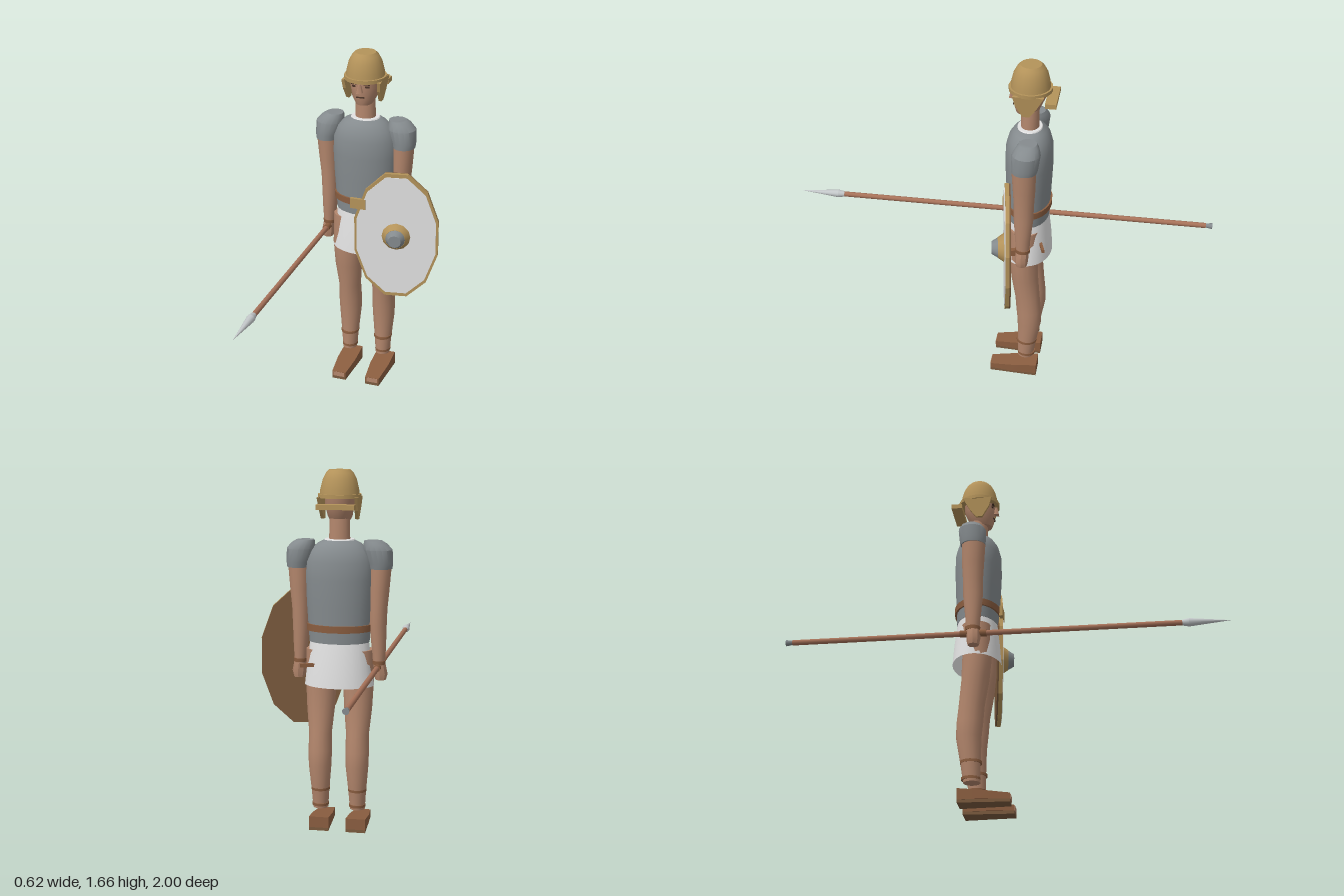
import * as THREE from 'three';
import { toCreasedNormals } from 'three/addons/utils/BufferGeometryUtils.js';

const mat = (name, color, side = THREE.FrontSide) => {
  const m = new THREE.MeshStandardMaterial({ color, side });
  m.name = name;
  return m;
};

// Elliptical cross-sections [y, cx, cz, rx, rz], listed bottom to top
function loft(rings, sides = 16, caps = true) {
  const pos = [], idx = [];
  for (const [y, cx, cz, rx, rz] of rings)
    for (let i = 0; i < sides; i++) {
      const a = (i / sides) * Math.PI * 2;
      pos.push(cx + rx * Math.sin(a), y, cz + rz * Math.cos(a));
    }
  for (let r = 0; r < rings.length - 1; r++)
    for (let i = 0; i < sides; i++) {
      const a = r * sides + i, b = r * sides + (i + 1) % sides;
      idx.push(a, b, b + sides, a, b + sides, a + sides);
    }
  if (caps) {
    const top = (rings.length - 1) * sides;
    for (let i = 1; i < sides - 1; i++) {
      idx.push(0, i + 1, i);
      idx.push(top, top + i, top + i + 1);
    }
  }
  const g = new THREE.BufferGeometry();
  g.setAttribute('position', new THREE.Float32BufferAttribute(pos, 3));
  g.setIndex(idx);
  return toCreasedNormals(g, 0.6);
}

export function createModel() {
  const root = new THREE.Group();
  const CX = -0.067, CZ = -0.145;
  const skin = mat('skin', 0xb4876d);
  const gold = mat('brass', 0xb4935a);
  const armor = mat('armour grey', 0x858b8e);
  const cloth = mat('white cloth', 0xe2e2e2, THREE.DoubleSide);
  const leather = mat('leather', 0x8b5e40);
  const wood = mat('spear wood', 0xa8735a);
  const steel = mat('steel', 0xc4c8ca);
  const backing = mat('shield wood', 0x7a5a3e);
  const dark = mat('dark features', 0x4a3428);

  const add = (name, geo, material, x = 0, y = 0, z = 0, parent = root) => {
    const m = new THREE.Mesh(geo, material);
    m.name = name;
    m.position.set(x, y, z);
    parent.add(m);
    return m;
  };
  const box = (w, h, d) => new THREE.BoxGeometry(w, h, d);

  // Torso, tunic and belt
  add('torso', loft([
    [0.885, 0, 0, 0.138, 0.096], [0.93, 0, 0, 0.141, 0.098], [1.05, 0, 0, 0.149, 0.104],
    [1.17, 0, 0, 0.155, 0.109], [1.25, 0, 0, 0.152, 0.107], [1.3, 0, 0, 0.131, 0.094],
    [1.33, 0, 0, 0.1, 0.075], [1.345, 0, 0, 0.07, 0.058]], 24), armor, CX, 0, CZ);
  add('collar', loft([[1.335, 0, 0, 0.076, 0.062], [1.35, 0, 0, 0.066, 0.055]], 24), cloth, CX, 0, CZ);
  add('tunicSkirt', loft([
    [0.685, 0, 0, 0.16, 0.114], [0.78, 0, 0, 0.149, 0.107], [0.89, 0, 0, 0.135, 0.094]], 24, false),
    cloth, CX, 0, CZ);
  add('belt', loft([[0.937, 0, 0, 0.15, 0.107], [0.968, 0, 0, 0.151, 0.108]], 24), leather, CX, 0, CZ);
  add('buckle', box(0.075, 0.05, 0.015), gold, CX, 0.952, -0.034);

  // Neck, head and face
  add('neck', loft([[1.32, 0, 0, 0.049, 0.042], [1.45, 0, 0, 0.045, 0.041]]), skin, CX, 0, CZ);
  add('head', loft([
    [1.42, 0, 0.018, 0.038, 0.045], [1.45, 0, 0.012, 0.056, 0.06], [1.5, 0, 0.004, 0.066, 0.073],
    [1.57, 0, 0, 0.07, 0.077]]), skin, CX, 0, CZ);
  const nose = new THREE.CylinderGeometry(0.006, 0.018, 0.042, 4).rotateY(Math.PI / 4);
  add('nose', nose, skin, CX, 1.507, -0.062);
  add('mouth', box(0.038, 0.005, 0.008), dark, CX, 1.462, -0.073);
  for (const s of [-1, 1]) {
    add('eye', box(0.02, 0.008, 0.008), dark, CX + s * 0.03, 1.513, -0.077);
    add('brow', box(0.026, 0.005, 0.009), dark, CX + s * 0.03, 1.526, -0.074);
  }

  // Helmet with brim, cheek guards and neck guard
  const bowl = [[0, 1.538], [0.09, 1.538], [0.087, 1.57], [0.076, 1.615], [0.062, 1.642], [0.048, 1.656], [0, 1.656]];
  add('helmetBowl', toCreasedNormals(new THREE.LatheGeometry(
    bowl.map(p => new THREE.Vector2(...p)), 20), 0.6), gold, CX, 0, CZ);
  add('helmetBrim', new THREE.CylinderGeometry(0.098, 0.098, 0.017, 20), gold, CX, 1.541, CZ);
  add('neckGuard', box(0.172, 0.022, 0.05), gold, CX, 1.498, -0.243);
  const cheek = new THREE.Shape([[-0.068, 0], [0.07, 0], [0.058, -0.045], [0.025, -0.1],
    [-0.005, -0.1], [-0.035, -0.06]].map(p => new THREE.Vector2(...p)));
  for (const s of [-1, 1]) {
    const g = new THREE.ExtrudeGeometry(cheek, { depth: 0.014, bevelEnabled: false });
    g.translate(0, 0, -0.007).rotateY(-Math.PI / 2);
    add('cheekGuard', g, gold, CX + s * 0.085, 1.537, CZ).rotation.z = s * -0.08;
  }

  for (const s of [-1, 1]) {
    // Arms
    const ax = d => CX + s * d;
    const arm = new THREE.Group();
    arm.name = s < 0 ? 'rightArm' : 'leftArm';
    root.add(arm);
    add('sleeve', loft([
      [1.22, ax(0.187), -0.145, 0.052, 0.058], [1.245, ax(0.186), -0.147, 0.056, 0.061],
      [1.305, ax(0.174), -0.152, 0.066, 0.064], [1.33, ax(0.164), -0.155, 0.054, 0.052],
      [1.345, ax(0.153), -0.156, 0.041, 0.04]]), armor, 0, 0, 0, arm);
    add('limb', loft([
      [0.78, ax(0.181), -0.143, 0.026, 0.03], [0.85, ax(0.18), -0.142, 0.032, 0.035],
      [0.96, ax(0.176), -0.144, 0.039, 0.045], [1.04, ax(0.178), -0.145, 0.04, 0.046],
      [1.12, ax(0.181), -0.145, 0.045, 0.051], [1.24, ax(0.186), -0.143, 0.05, 0.056]]), skin, 0, 0, 0, arm);
    add('wristband', loft([
      [0.785, ax(0.181), -0.143, 0.03, 0.034], [0.802, ax(0.181), -0.143, 0.031, 0.035]]), leather, 0, 0, 0, arm);
    add('hand', loft([
      [0.712, ax(0.188), -0.138, 0.025, 0.026], [0.74, ax(0.188), -0.138, 0.032, 0.032],
      [0.785, ax(0.183), -0.14, 0.028, 0.031]], 8), skin, 0, 0, 0, arm);

    // Legs with ankle straps
    const leg = new THREE.Group();
    leg.name = s < 0 ? 'rightLeg' : 'leftLeg';
    leg.position.x = CX + s * 0.086;
    root.add(leg);
    add('limb', loft([
      [0.1, 0, -0.152, 0.035, 0.038], [0.18, 0, -0.158, 0.041, 0.044], [0.31, 0, -0.168, 0.053, 0.057],
      [0.38, 0, -0.164, 0.055, 0.06], [0.46, 0, -0.157, 0.053, 0.059], [0.58, 0, -0.142, 0.065, 0.064],
      [0.7, 0, -0.135, 0.071, 0.068], [0.85, 0, -0.14, 0.068, 0.068]]), skin, 0, 0, 0, leg);
    for (const [y, r] of [[0.118, 0.038], [0.193, 0.044]])
      add('ankleStrap', loft([[y - 0.006, 0, -0.156, r, r + 0.005], [y + 0.006, 0, -0.157, r, r + 0.005]]),
        leather, 0, 0, 0, leg);

    // Shoe: block tapered and lowered towards the toe
    const sole = box(0.092, 0.014, 0.228, 1, 1, 1), upper = new THREE.BoxGeometry(0.092, 0.051, 0.228, 1, 1, 4);
    for (const g of [sole, upper]) {
      const p = g.attributes.position;
      for (let i = 0; i < p.count; i++) {
        const z = p.getZ(i), t = z / 0.228 + 0.5;
        p.setX(i, p.getX(i) * (1 - 0.25 * Math.max(0, t - 0.5) * 2));
        if (g === upper && p.getY(i) > 0) p.setY(i, p.getY(i) - 0.025 * t);
      }
      g.computeVertexNormals();
    }
    add('sole', sole, backing, 0, 0.007, -0.096, leg);
    add('shoe', upper, leather, 0, 0.0395, -0.096, leg);
    add('toe', box(0.056, 0.022, 0.006), skin, 0, 0.027, 0.017, leg);
  }

  // Spear held level in the right hand
  const spear = new THREE.Group();
  spear.name = 'spear';
  spear.position.set(-0.246, 0.773, 0);
  root.add(spear);
  const rod = (name, rFront, rBack, z0, z1, m) => add(name,
    new THREE.CylinderGeometry(rFront, rBack, z1 - z0, 10).rotateX(Math.PI / 2), m, 0, 0, (z0 + z1) / 2, spear);
  rod('shaft', 0.0125, 0.0125, -0.97, 0.81, wood);
  rod('spearSocket', 0.019, 0.013, 0.79, 0.82, steel);
  rod('spearPoint', 0.0005, 0.019, 0.82, 1, steel);
  rod('buttCap', 0.009, 0.0145, -1, -0.965, armor);
  rod('gripWrap', 0.016, 0.016, -0.2, -0.08, leather);

  // Twelve-sided oval shield on the left arm
  const shield = new THREE.Group();
  shield.name = 'shield';
  shield.position.set(0.11, 0.797, -0.07);
  shield.rotation.y = 0.17;
  root.add(shield);
  const oval = (name, k, d, z, m) => {
    const g = new THREE.CylinderGeometry(k, k, d, 12).rotateY(Math.PI / 12).rotateX(Math.PI / 2);
    g.scale(0.205, 0.328, 1);
    add(name, toCreasedNormals(g, 0.3), m, 0, 0, z, shield);
  };
  oval('shieldRim', 1, 0.018, 0.002, gold);
  oval('shieldBack', 0.995, 0.008, -0.01, backing);
  oval('shieldFace', 0.945, 0.006, 0.011, cloth);
  const disc = (name, r0, r1, d, z, m) => add(name,
    new THREE.CylinderGeometry(r0, r1, d, 12).rotateX(Math.PI / 2), m, 0, 0, z, shield);
  disc('bossRing', 0.048, 0.069, 0.03, 0.028, gold);
  disc('boss', 0.03, 0.048, 0.03, 0.056, armor);
  add('shieldGrip', box(0.02, 0.03, 0.06), leather, 0.01, -0.02, -0.04, shield);
  add('gripStrap', box(0.09, 0.016, 0.012), leather, 0.055, 0.783, -0.222).rotation.y = 0.3;
  return root;
}
